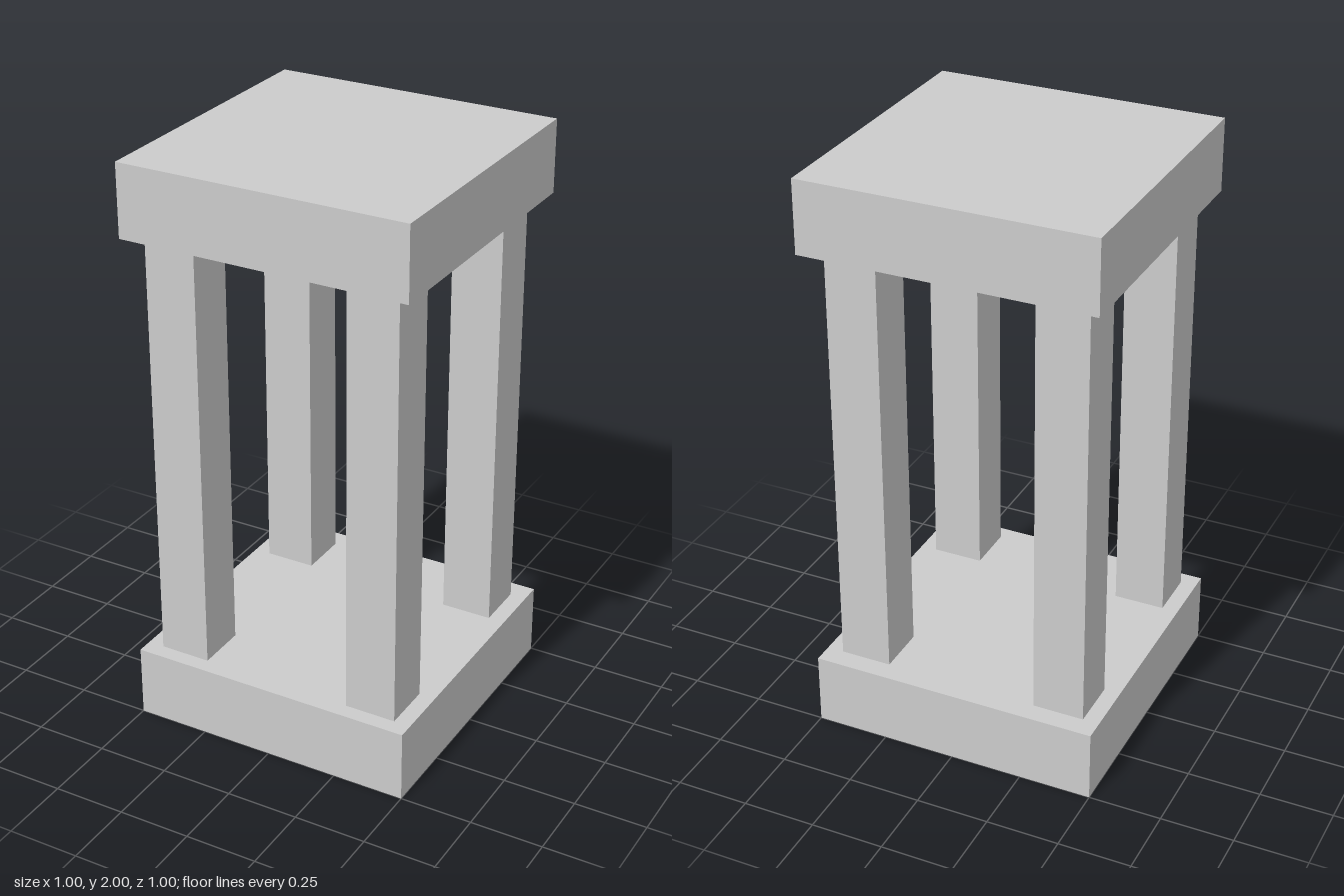
import * as THREE from 'three';

const SLAB = { size: 1, height: 0.25 };
const PILLAR = { size: 0.177, height: 1.5 };

export function createModel() {
  const model = new THREE.Group();
  const material = new THREE.MeshStandardMaterial({ color: 0xcccccc, flatShading: true });

  // A square block standing on height y
  const addBlock = (name, { size, height }, x, y, z) => {
    const mesh = new THREE.Mesh(new THREE.BoxGeometry(size, height, size), material);
    mesh.name = name;
    mesh.position.set(x, y + height / 2, z);
    model.add(mesh);
  };

  // Base and roof slabs
  addBlock('base', SLAB, 0, 0, 0);
  addBlock('roof', SLAB, 0, SLAB.height + PILLAR.height, 0);

  // Four corner pillars, the back pair set slightly further in
  for (const [side, x] of [['Left', 0.354], ['Right', -0.355]]) {
    addBlock(`front${side}Pillar`, PILLAR, x, SLAB.height, 0.357);
    addBlock(`back${side}Pillar`, PILLAR, x, SLAB.height, -0.341);
  }

  return model;
}
